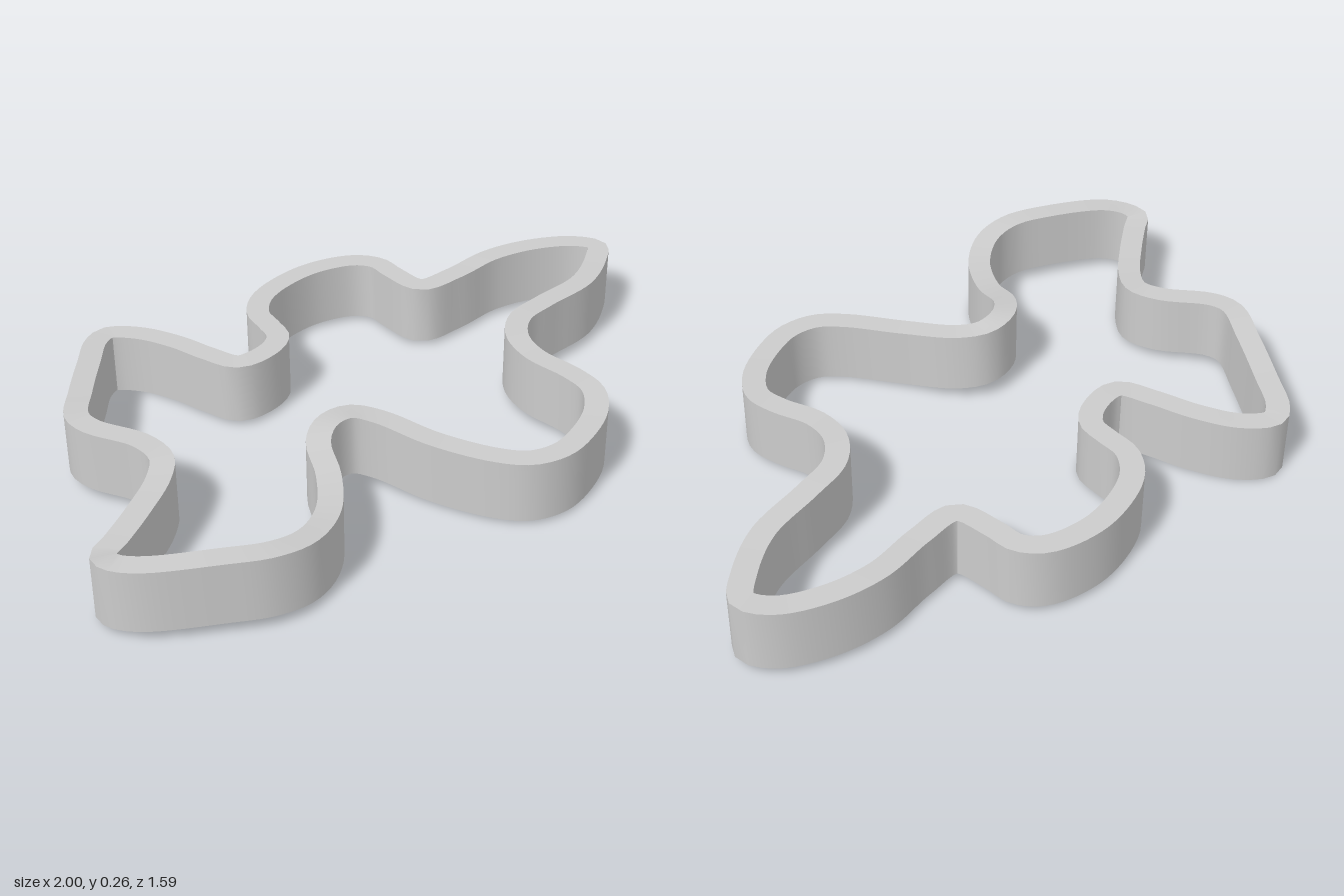
import * as THREE from 'three';
import { toCreasedNormals } from 'three/addons/utils/BufferGeometryUtils.js';

const WIDTH = 0.073, HEIGHT = 0.2, STEPS = 260;

// Centreline of the wall as x, z and height of the lower edge
const PATH = [
  [-0.755, -0.547, 0], [-0.66, -0.515, 0], [-0.557, -0.419, 0.005], [-0.477, -0.312, 0.01],
  [-0.397, -0.23, 0.015], [-0.29, -0.275, 0.015], [-0.242, -0.344, 0.015], [-0.253, -0.424, 0.015],
  [-0.269, -0.505, 0.015], [-0.237, -0.595, 0.015], [-0.156, -0.675, 0.015], [-0.023, -0.745, 0.015],
  [0.127, -0.759, 0.015], [0.2, -0.718, 0.015], [0.233, -0.638, 0.015], [0.297, -0.53, 0.015],
  [0.43, -0.574, 0.015], [0.59, -0.654, 0.018], [0.75, -0.681, 0.02], [0.895, -0.66, 0.022],
  [0.96, -0.605, 0.025], [0.922, -0.515, 0.025], [0.815, -0.382, 0.028], [0.644, -0.28, 0.034],
  [0.527, -0.2, 0.036], [0.479, -0.093, 0.035], [0.495, 0.019, 0.03], [0.57, 0.141, 0.022],
  [0.602, 0.232, 0.016], [0.57, 0.339, 0.012], [0.479, 0.446, 0.01], [0.393, 0.505, 0.01],
  [0.297, 0.518, 0.01], [0.207, 0.478, 0.01], [0.057, 0.355, 0.015], [-0.076, 0.227, 0.038],
  [-0.156, 0.195, 0.052], [-0.237, 0.232, 0.056], [-0.285, 0.312, 0.045], [-0.29, 0.44, 0.02],
  [-0.333, 0.595, 0.014], [-0.423, 0.707, 0.025], [-0.53, 0.75, 0.036], [-0.664, 0.745, 0.039],
  [-0.877, 0.707, 0.03],
];
const LEFT_SIDE = [
  [-0.947, 0.66, 0.02], [-0.963, 0.617, 0.015], [-0.915, 0.553, 0.012], [-0.834, 0.44, 0.012],
  [-0.754, 0.312, 0.015], [-0.728, 0.222, 0.022], [-0.77, 0.136, 0.03], [-0.899, 0.029, 0.036],
  [-0.931, -0.04, 0.036], [-0.899, -0.184, 0.025], [-0.845, -0.371, 0.01], [-0.8, -0.505, 0.002],
];

// Sweep an upright rectangular section round a closed curve
function sweepWall(curve) {
  const rings = [];
  for (let i = 0; i < STEPS; i++) {
    const p = curve.getPointAt(i / STEPS), t = curve.getTangentAt(i / STEPS);
    const out = new THREE.Vector3(t.z, 0, -t.x).setLength(WIDTH / 2);
    const up = new THREE.Vector3(0, HEIGHT, 0);
    const outer = p.clone().add(out), inner = p.clone().sub(out);
    rings.push([outer, outer.clone().add(up), inner.clone().add(up), inner]);
  }
  const pos = [];
  rings.forEach((a, i) => {
    const b = rings[(i + 1) % STEPS];
    for (let k = 0; k < 4; k++) {
      const n = (k + 1) % 4;
      for (const v of [a[k], a[n], b[n], a[k], b[n], b[k]]) pos.push(v.x, v.y, v.z);
    }
  });
  const geo = new THREE.BufferGeometry();
  geo.setAttribute('position', new THREE.Float32BufferAttribute(pos, 3));
  return toCreasedNormals(geo, Math.PI / 5);
}

export function createModel() {
  const group = new THREE.Group();
  group.name = 'wavyLoop';
  const points = [...PATH, ...LEFT_SIDE].map(([x, z, y]) => new THREE.Vector3(x, y, z));
  const curve = new THREE.CatmullRomCurve3(points, true, 'centripetal');
  curve.arcLengthDivisions = 1000;
  const wall = new THREE.Mesh(sweepWall(curve), new THREE.MeshStandardMaterial({ color: 0xcccccc }));
  wall.name = 'loopWall';
  group.add(wall);
  return group;
}
